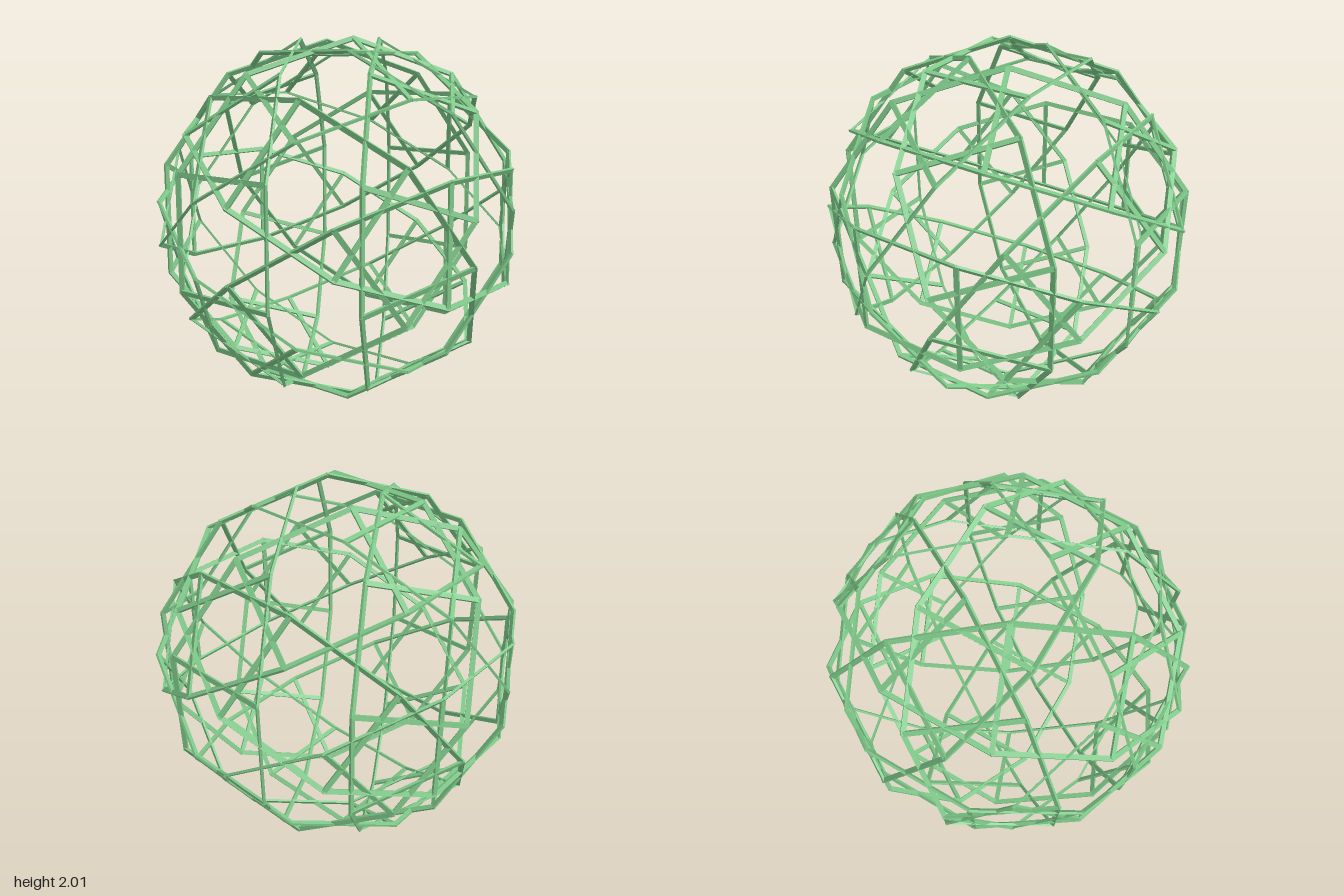
import * as THREE from 'three';

const PHI = (1 + Math.sqrt(5)) / 2;
const SCALE = 0.305;      // half of one edge
const WIDTH = 0.026;      // flat bar, wide side
const DEPTH = 0.013;      // flat bar, thin side

// All sign changes and cyclic permutations of a triple, without duplicates
function orbit([a, b, c]) {
  const found = new Map();
  for (const p of [[a, b, c], [b, c, a], [c, a, b]])
    for (let i = 0; i < 8; i++) {
      const v = p.map((n, k) => (i >> k) & 1 ? -n : n);
      found.set(v.map(n => (n + 0).toFixed(4).replace('-0.0000', '0.0000')).join(), new THREE.Vector3(...v));
    }
  return [...found.values()];
}

const near = (a, b) => Math.abs(a - b) < 0.01;

export function createModel() {
  const model = new THREE.Group();
  model.name = 'starPolyhedronFrame';
  const material = new THREE.MeshStandardMaterial({ color: 0x7fc98a, flatShading: true });

  // 120 corners of the truncated dodecadodecahedron, edge length 2
  const corners = [
    [1, 1, 3],
    [1 / PHI, 1 / PHI ** 2, 2 * PHI],
    [PHI, 2 / PHI, PHI ** 2],
    [PHI ** 2, 1 / PHI ** 2, 2],
    [Math.sqrt(5), 1, Math.sqrt(5)],
  ].flatMap(orbit);

  // Face axes with the distances of their face planes from the centre
  const fiveFold = orbit([1, 0, PHI]).map(v => v.normalize());
  const twoFold = [...orbit([0, 0, 1]), ...orbit([1 / PHI, 1, PHI])].map(v => v.normalize());
  const faces = [
    ...twoFold.map(axis => ({ axis, distance: 3, kind: 'square' })),
    ...fiveFold.map(axis => ({ axis, distance: 3.0777, kind: 'star' })),
    ...fiveFold.map(axis => ({ axis, distance: 0.7265, kind: 'decagon' })),
  ];

  // One flat bar shape serves every edge
  const bar = new THREE.BoxGeometry(2 * SCALE + DEPTH, DEPTH, WIDTH);
  const groups = {};

  for (let i = 0; i < corners.length; i++)
    for (let j = i + 1; j < corners.length; j++) {
      const a = corners[i], b = corners[j];
      if (!near(a.distanceTo(b), 2)) continue;

      // The bar faces halfway between its two adjoining faces
      const sides = faces.filter(f => near(f.axis.dot(a), f.distance) && near(f.axis.dot(b), f.distance));
      const normal = new THREE.Vector3();
      sides.forEach(f => normal.add(f.axis));
      normal.normalize();
      const along = b.clone().sub(a).normalize();
      const across = along.clone().cross(normal).normalize();

      const strut = new THREE.Mesh(bar, material);
      strut.name = 'strut';
      strut.quaternion.setFromRotationMatrix(new THREE.Matrix4().makeBasis(along, normal, across));
      strut.position.copy(a).add(b).multiplyScalar(SCALE / 2);

      const name = sides.map(f => f.kind).join('To') + 'Edges';
      if (!groups[name]) {
        groups[name] = new THREE.Group();
        groups[name].name = name;
        groups[name].position.y = 1;
        model.add(groups[name]);
      }
      groups[name].add(strut);
    }

  return model;
}
